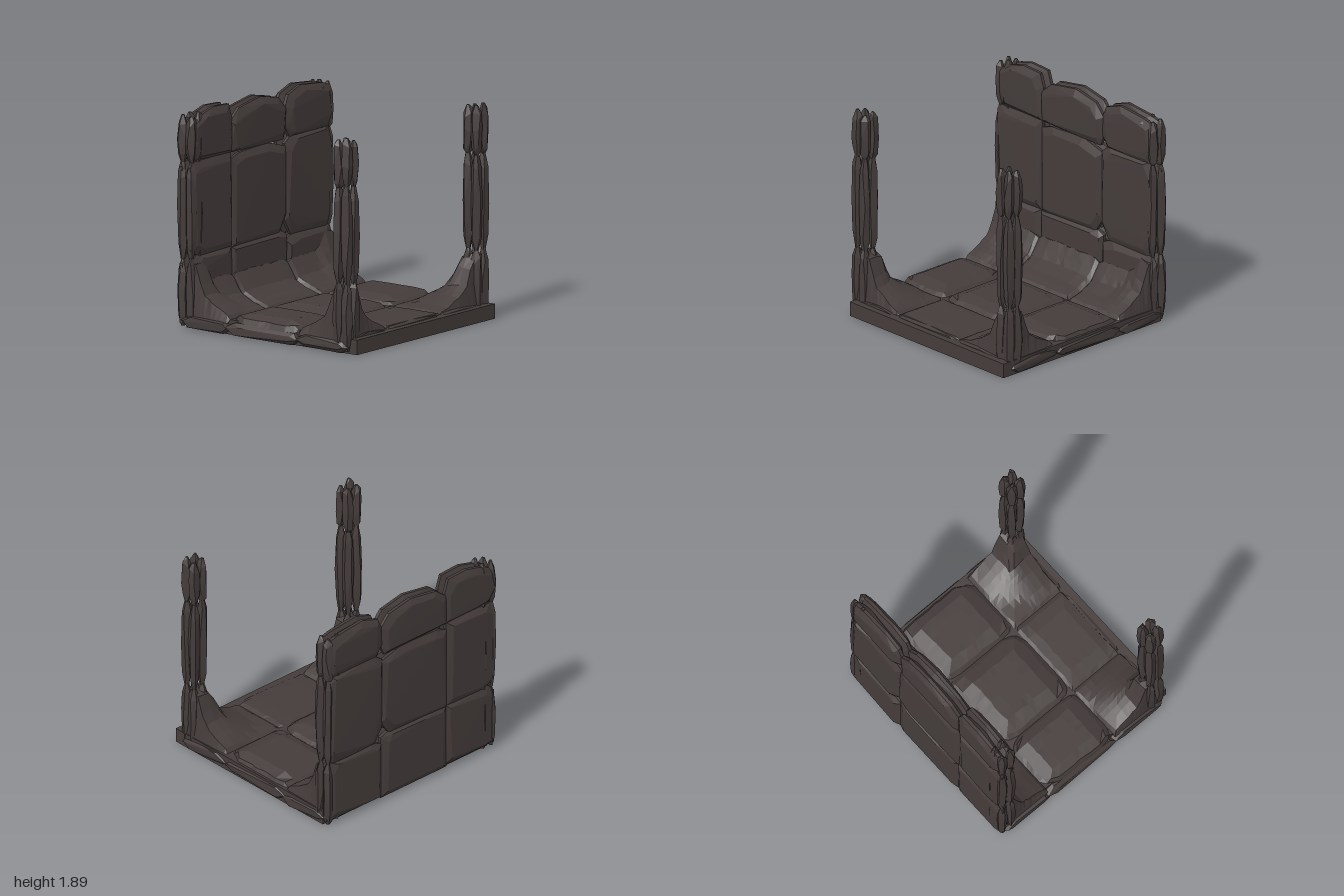
import * as THREE from 'three';
import { ConvexGeometry } from 'three/addons/geometries/ConvexGeometry.js';

export function createModel() {
  const model = new THREE.Group();
  const stone = new THREE.MeshStandardMaterial({ color: 0x443c3b, flatShading: true, side: THREE.DoubleSide });
  stone.name = 'dark stone';

  let seed = 7;
  const rnd = (s) => {
    seed = (seed * 16807) % 2147483647;
    return (seed / 2147483647 - 0.5) * 2 * s;
  };
  const add = (geometry, name) => {
    const mesh = new THREE.Mesh(geometry, stone);
    mesh.name = name;
    model.add(mesh);
    return mesh;
  };

  // Chiselled slab: outline around the middle, smaller outlines on both faces
  const slab = (outline, thickness, place, name, inset = 0.05) => {
    const n = outline.length;
    const ca = outline.reduce((s, p) => s + p[0], 0) / n;
    const cb = outline.reduce((s, p) => s + p[1], 0) / n;
    const points = [];
    const pull = (v, c) => v - Math.sign(v - c) * Math.min(inset + rnd(0.025), Math.abs(v - c) * 0.6);
    for (const [a, b] of outline) {
      points.push(place(a, b, thickness * 0.15), place(a, b, -thickness * 0.15));
      for (const side of [-0.5, 0.5]) {
        points.push(place(pull(a, ca), pull(b, cb), side * thickness + rnd(0.007)));
      }
    }
    add(new ConvexGeometry(points), name);
  };

  // Base plate
  add(new THREE.BoxGeometry(1.85, 0.13, 1.91), 'basePlate').position.set(0.045, 0.083, -0.025);

  // Wall: two layers of three by three stones, outlines as [z, y]
  const wallStones = [
    [[0.97, 1.55], [0.96, 1.8], [0.8, 1.87], [0.65, 1.91], [0.44, 1.9], [0.4, 1.78], [0.4, 1.47], [0.9, 1.48]],
    [[0.42, 1.74], [0.3, 1.84], [0, 1.89], [-0.25, 1.84], [-0.35, 1.73], [-0.34, 1.53], [-0.31, 1.46], [0.42, 1.47]],
    [[-0.34, 1.75], [-0.38, 1.84], [-0.55, 1.9], [-0.85, 1.87], [-0.96, 1.84], [-0.97, 1.55], [-0.93, 1.47], [-0.4, 1.47], [-0.33, 1.57]],
    [[0.97, 1.42], [0.92, 1.47], [0.41, 1.48], [0.41, 0.64], [0.85, 0.63], [0.97, 0.7]],
    [[0.42, 1.41], [0.3, 1.45], [-0.1, 1.47], [-0.35, 1.4], [-0.35, 0.8], [-0.25, 0.65], [0.42, 0.63]],
    [[-0.33, 1.42], [-0.42, 1.49], [-0.93, 1.49], [-0.97, 1.4], [-0.97, 0.7], [-0.9, 0.6], [-0.42, 0.61], [-0.33, 0.75]],
    [[0.97, 0.58], [0.9, 0.65], [0.4, 0.66], [0.4, 0.06], [0.97, 0.06]],
    [[0.42, 0.65], [0.2, 0.67], [-0.28, 0.67], [-0.35, 0.64], [-0.35, 0.04], [0.42, 0.04]],
    [[-0.34, 0.58], [-0.45, 0.63], [-0.93, 0.63], [-0.97, 0.55], [-0.97, 0.06], [-0.34, 0.05]],
  ];
  for (const [x, name] of [[-0.908, 'outerWallStone'], [-0.818, 'innerWallStone']]) {
    for (const outline of wallStones) {
      slab(outline, 0.095, (z, y, t) => new THREE.Vector3(x + t, y, z), name);
    }
  }

  // Rim stones along the front, back and open side
  for (const [z, name] of [[0.945, 'frontRimStone'], [-0.948, 'backRimStone']]) {
    for (const [x0, x1] of [[-0.92, -0.38], [-0.43, 0.37], [0.33, 0.9]]) {
      const outline = [[x0, 0.09], [x0 + 0.08, 0.03], [x1 - 0.08, 0.02], [x1, 0.07], [x1 - 0.06, 0.125], [x0 + 0.1, 0.135]];
      slab(outline, 0.09, (x, y, t) => new THREE.Vector3(x, y, z + t), name, 0.025);
    }
  }
  for (const [z0, z1] of [[-0.95, -0.31], [-0.35, 0.44], [0.4, 0.93]]) {
    const outline = [[z0, 0.12], [z1, 0.12], [z1 - 0.06, 0.16], [(z0 + z1) / 2, 0.168], [z0 + 0.08, 0.155]];
    slab(outline, 0.07, (z, y, t) => new THREE.Vector3(0.875 + t, y, z), 'sideRimStone', 0.015);
  }

  // Corner posts: clusters of two by two tapered stones in three tiers
  const posts = [[0.825, 0.893], [0.825, -0.897], [-0.862, 0.895], [-0.862, -0.897]];
  const tiers = [[0.03, 0.64], [0.61, 1.5], [1.46, 1.88]];
  const section = [[0, 0.02], [0.14, 0.044], [0.5, 0.053], [0.84, 0.045], [1, 0.014]];
  for (const [px, pz] of posts) {
    for (const [y0, y1] of tiers) {
      for (const dx of [-0.045, 0.045]) {
        for (const dz of [-0.047, 0.047]) {
          const points = [];
          const bottom = y0 + rnd(0.015), top = y1 + rnd(0.02), turn = rnd(1);
          for (const [t, r] of section) {
            for (let i = 0; i < 5; i++) {
              const a = turn + (i / 5) * Math.PI * 2 + rnd(0.3);
              const y = bottom + (top - bottom) * t + (t > 0 && t < 1 ? rnd(0.04) : 0);
              points.push(new THREE.Vector3(px + dx + Math.cos(a) * r, y, pz + dz + Math.sin(a) * r));
            }
          }
          add(new ConvexGeometry(points), 'postStone');
        }
      }
    }
  }

  // Floor height: steep coves around the corner posts, a gentler one along the wall
  const postCove = [[0, 0.58], [0.09, 0.325], [0.2, 0.25], [0.38, 0.165]];
  const wallCove = [[0, 0.42], [0.1, 0.27], [0.22, 0.21], [0.37, 0.165]];
  const cove = (steps, d) => {
    for (let i = 1; i < steps.length; i++) {
      const [d0, h0] = steps[i - 1], [d1, h1] = steps[i];
      if (d <= d1) return h0 + ((h1 - h0) * (d - d0)) / (d1 - d0);
    }
    return 0.165;
  };
  const height = (x, z) => {
    let h = cove(wallCove, Math.max(0, x + 0.77));
    for (const [px, pz] of posts) {
      const d = Math.hypot(Math.max(0, Math.abs(x - px) - 0.09), Math.max(0, Math.abs(z - pz) - 0.09));
      h = Math.max(h, cove(postCove, d));
    }
    return h;
  };

  // Floor: three by three worn stones following the coves, corners cut on the middle column
  const xs = [-0.86, -0.4, 0.36, 0.9], zs = [-0.975, -0.33, 0.42, 0.965];
  const stops = [0, 0.05, 0.2, 0.32, 0.42, 0.5, 0.58, 0.68, 0.8, 0.95, 1];
  const last = stops.length - 1;
  for (let cx = 0; cx < 3; cx++) {
    for (let cz = 0; cz < 3; cz++) {
      const geometry = new THREE.PlaneGeometry(1, 1, last, last);
      const pos = geometry.attributes.position;
      const cuts = [0.1, 0.1, 0.1, 0.1].map((c) => c + rnd(0.08));
      for (let j = 0; j <= last; j++) {
        for (let i = 0; i <= last; i++) {
          const edge = i === 0 || j === 0 || i === last || j === last;
          const outer = (cx === 2 && i === last) || (cz === 0 && j === 0) || (cz === 2 && j === last);
          let u = stops[i] + (edge ? 0 : rnd(0.012)), v = stops[j] + (edge ? 0 : rnd(0.012));
          if (cx === 1) {
            const su = u < 0.5 ? 1 : -1, sv = v < 0.5 ? 1 : -1;
            const toCorner = Math.min(u, 1 - u) + Math.min(v, 1 - v);
            const cut = cuts[(su > 0 ? 0 : 1) + (sv > 0 ? 0 : 2)] + (edge ? 0 : 0.06);
            const push = Math.max(0, cut - toCorner) / 2;
            u += su * push;
            v += sv * push;
          }
          const x = xs[cx] + (xs[cx + 1] - xs[cx]) * u;
          const z = zs[cz] + (zs[cz + 1] - zs[cz]) * v;
          const bulge = Math.min(1, 5 * Math.min(u, 1 - u, v, 1 - v)) * (cx === 1 ? 0.052 : 0.012);
          let y = height(x, z) + bulge;
          if (edge) y = outer ? 0.12 : Math.max(0.15, y - 0.025);
          pos.setXYZ(j * (last + 1) + i, x, y, z);
        }
      }
      geometry.computeVertexNormals();
      add(geometry, 'floorStone');
    }
  }

  return model;
}
